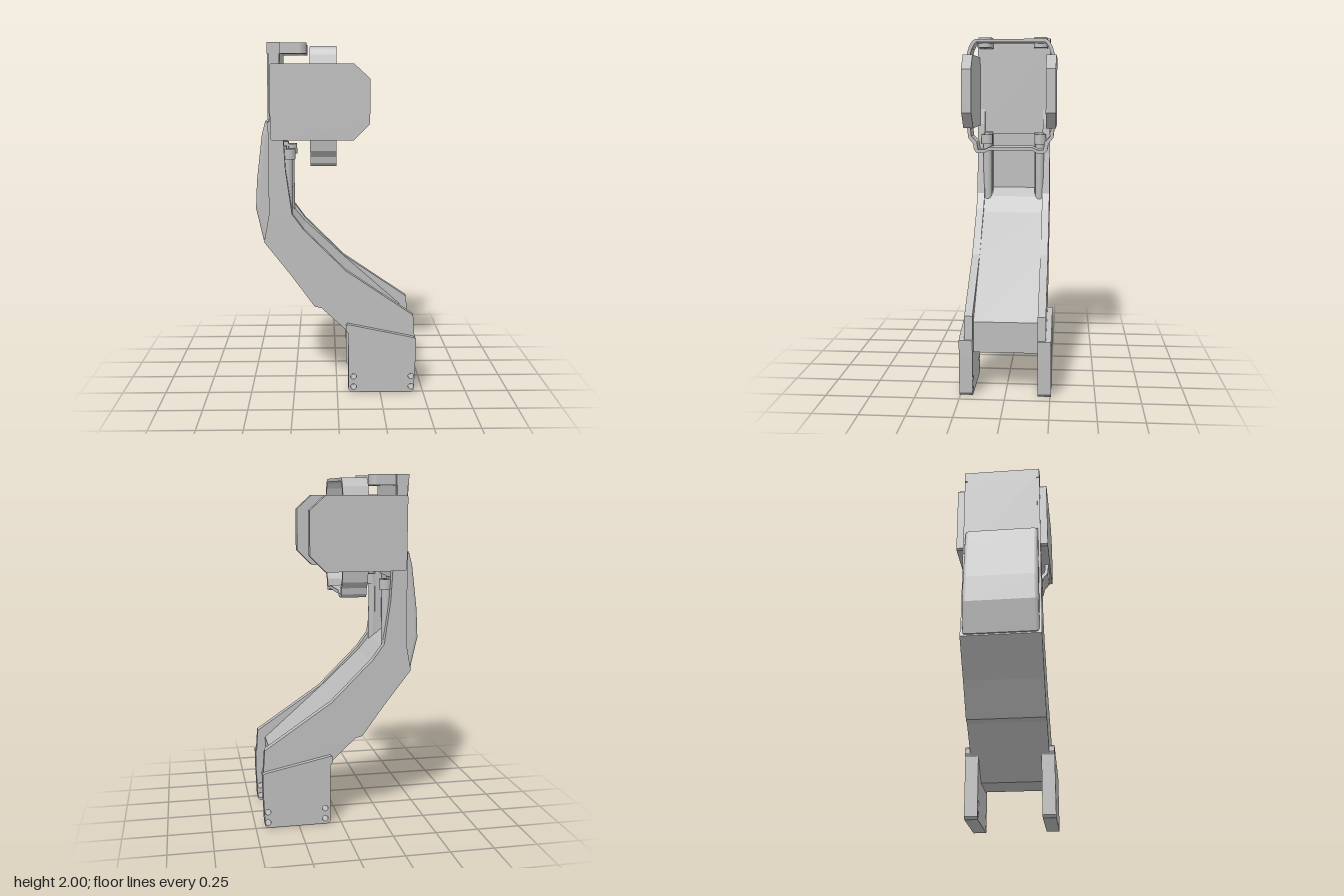
import * as THREE from 'three';

const grey = new THREE.MeshStandardMaterial({ color: 0xbdbdbd });
grey.name = 'plain grey';

// Closed shape from corner points, with round holes [x, y, r]
function outline(points, holes = []) {
  const shape = new THREE.Shape(points.map(([x, y]) => new THREE.Vector2(x, y)));
  for (const [x, y, r] of holes) {
    const path = new THREE.Path();
    path.absarc(x, y, r, 0, Math.PI * 2, true);
    shape.holes.push(path);
  }
  return shape;
}

function extrude(shape, depth, bevel = 0) {
  return new THREE.ExtrudeGeometry(shape, {
    depth: depth - 2 * bevel, curveSegments: 10, bevelEnabled: bevel > 0,
    bevelSize: bevel, bevelThickness: bevel, bevelOffset: -bevel, bevelSegments: 3,
  }).translate(0, 0, bevel);
}

export function createModel() {
  const model = new THREE.Group();
  model.name = 'bracketArm';
  const add = (name, geometry) => {
    const mesh = new THREE.Mesh(geometry, grey);
    mesh.name = name;
    model.add(mesh);
    return mesh;
  };
  // Side-view profile extruded between z0 and z1
  const slab = (name, points, z0, z1, holes, bevel) =>
    add(name, extrude(outline(points, holes), z1 - z0, bevel).translate(0, 0, z0));
  // The same slab on both sides
  const pair = (name, points, z0, z1, holes) => {
    slab(name + 'Left', points, z0, z1, holes);
    slab(name + 'Right', points, -z1, -z0, holes);
  };

  // Fork feet with bolt holes
  pair('forkFoot', [
    [0.08, 0], [0.435, 0], [0.447, 0.015], [0.455, 0.22], [0.455, 0.32], [0.44, 0.33],
    [0.06, 0.41], [0.05, 0.4], [0.05, 0.375], [0.063, 0.355], [0.065, 0.015],
  ], 0.18, 0.255, [[0.095, 0.095, 0.017], [0.095, 0.032, 0.017], [0.43, 0.095, 0.017], [0.43, 0.032, 0.017]]);

  // Arm cheeks
  pair('armCheek', [
    [0.45, 0.32], [0.44, 0.455], [0.05, 0.72], [-0.19, 0.96], [-0.255, 1.05], [-0.29, 1.3],
    [-0.3, 1.48], [-0.315, 1.57], [-0.385, 1.57], [-0.385, 1.05], [-0.415, 0.89],
    [-0.26, 0.69], [-0.13, 0.51], [-0.09, 0.5], [0.06, 0.36],
  ], 0.18, 0.225);

  // Arm core between the cheeks
  slab('armCore', [
    [0.395, 0.235], [0.395, 0.41], [0.05, 0.715], [-0.19, 0.94], [-0.265, 1.03], [-0.325, 1.08],
    [-0.325, 1.45], [-0.385, 1.45], [-0.385, 1.05], [-0.415, 0.89],
    [-0.26, 0.69], [-0.13, 0.51], [-0.09, 0.5], [0.06, 0.36], [0.19, 0.235],
  ], -0.182, 0.182);

  // Rounded cover on the back of the arm
  slab('backCover', [
    [-0.36, 0.88], [-0.36, 1.57], [-0.4, 1.572], [-0.42, 1.5], [-0.452, 1.24],
    [-0.46, 1.08], [-0.42, 0.9],
  ], -0.212, 0.212, [], 0.02);

  // Head wall
  slab('headWall', [[-0.385, 1.42], [-0.315, 1.42], [-0.315, 1.95], [-0.385, 1.95]], -0.21, 0.21);
  slab('headWallEdges', [[-0.378, 1.5], [-0.318, 1.5], [-0.318, 1.95], [-0.378, 1.95]], -0.225, 0.225);

  // U-shaped top frame with rounded, drilled ears
  const frame = new THREE.Shape();
  frame.moveTo(-0.385, -0.225);
  frame.lineTo(-0.315, -0.225);
  frame.lineTo(-0.315, -0.208);
  frame.lineTo(-0.21, -0.208);
  frame.absarc(-0.21, -0.167, 0.041, -Math.PI / 2, Math.PI / 2, false);
  frame.lineTo(-0.315, -0.126);
  frame.lineTo(-0.315, 0.126);
  frame.lineTo(-0.21, 0.126);
  frame.absarc(-0.21, 0.167, 0.041, -Math.PI / 2, Math.PI / 2, false);
  frame.lineTo(-0.315, 0.208);
  frame.lineTo(-0.315, 0.225);
  frame.lineTo(-0.385, 0.225);
  for (const s of [-1, 1]) {
    const hole = new THREE.Path();
    hole.absarc(-0.21, s * 0.167, 0.02, 0, Math.PI * 2, true);
    frame.holes.push(hole);
  }
  add('topFrame', extrude(frame, 0.06).rotateX(-Math.PI / 2).translate(0, 1.94, 0));

  // Posts and drilled bosses inside the channel
  const ring = extrude(outline(
    Array.from({ length: 20 }, (_, i) => [0.035 * Math.cos(i * Math.PI / 10), 0.035 * Math.sin(i * Math.PI / 10)]),
    [[0, 0, 0.017]]), 0.06).rotateX(-Math.PI / 2);
  for (const s of [-1, 1]) {
    const side = s > 0 ? 'Left' : 'Right';
    add('channelPost' + side, new THREE.CylinderGeometry(0.026, 0.026, 0.36, 20)).position.set(-0.278, 1.18, s * 0.162);
    add('channelBoss' + side, ring).position.set(-0.27, 1.357, s * 0.165);
    add('channelRib' + side, new THREE.BoxGeometry(0.06, 0.42, 0.055)).position.set(-0.315, 1.22, s * 0.158);
  }

  // Head side pads with clipped front corners
  pair('sidePad', [
    [-0.36, 1.47], [0.09, 1.47], [0.18, 1.56], [0.18, 1.805], [0.09, 1.887], [-0.36, 1.887],
    [-0.37, 1.877], [-0.37, 1.48],
  ], 0.21, 0.266);

  // Strap looped around both pads
  const mirror = (half) => [...half, ...half.map(([z, y]) => [-z, y]).reverse()];
  const strap = outline(mirror([
    [0.13, 1.335], [0.155, 1.32], [0.2, 1.32], [0.217, 1.34], [0.222, 1.375], [0.25, 1.41], [0.257, 1.47],
    [0.257, 1.885], [0.243, 1.935], [0.225, 1.967], [0.205, 1.98],
  ]));
  strap.holes.push(new THREE.Path(mirror([
    [0.125, 1.355], [0.155, 1.34], [0.193, 1.34], [0.2, 1.385], [0.232, 1.42], [0.237, 1.47],
    [0.237, 1.885], [0.225, 1.925], [0.21, 1.952], [0.2, 1.962],
  ]).map(([z, y]) => new THREE.Vector2(z, y))));
  add('strap', extrude(strap, 0.145).rotateY(Math.PI / 2).translate(-0.15, 0, 0));

  return model;
}
